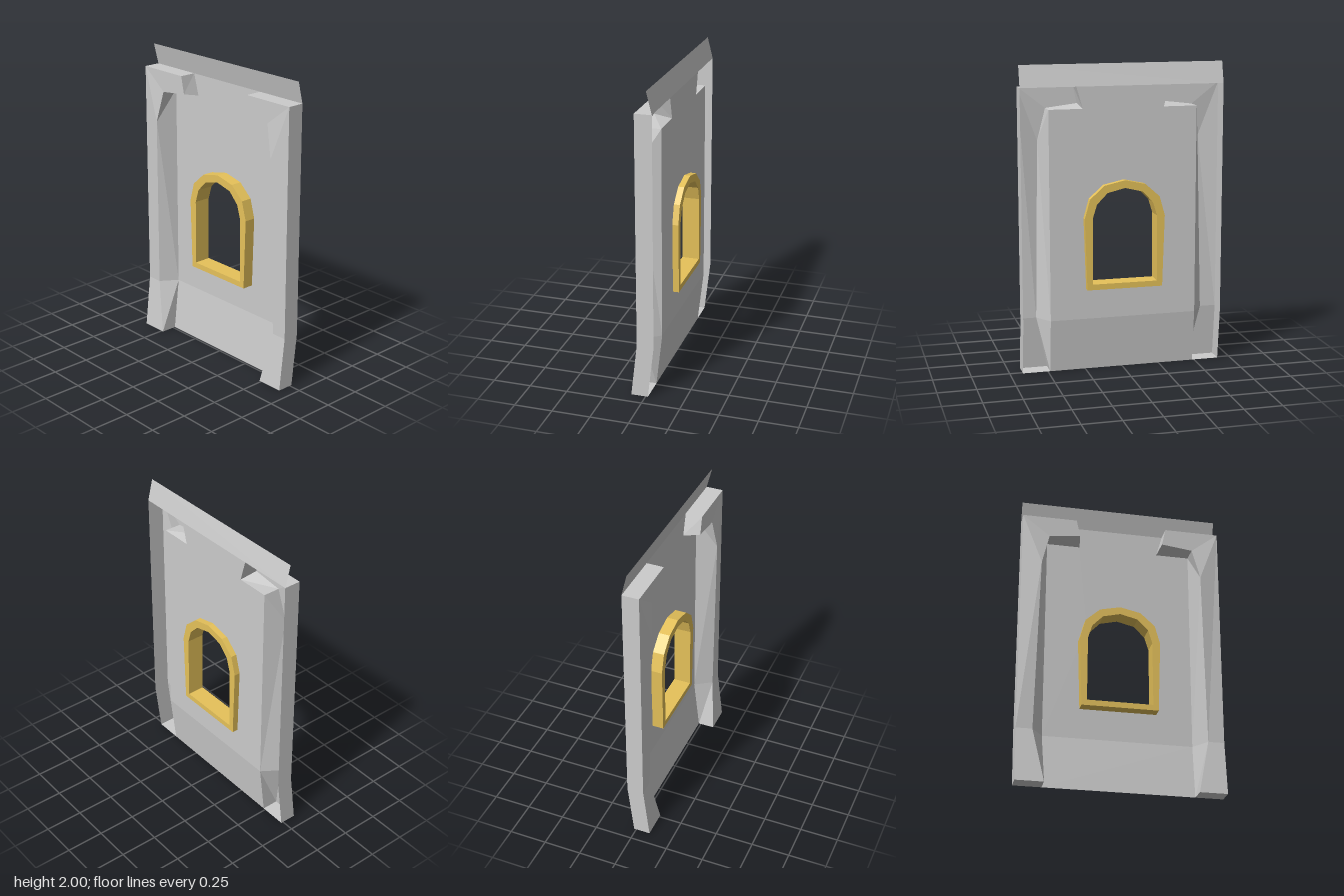
import * as THREE from 'three';

const grey = new THREE.MeshStandardMaterial({ color: 0xcccccc, side: THREE.DoubleSide, flatShading: true });
const gold = new THREE.MeshStandardMaterial({ color: 0xe6c25a, flatShading: true });

function mesh(name, geometry, material) {
  const m = new THREE.Mesh(geometry, material);
  m.name = name;
  return m;
}

// Convex polygons, fanned into flat triangles; sign -1 mirrors them across x = 0
function polygons(faces, sign = 1) {
  const pos = [];
  for (const face of faces) {
    const pts = face.map(([x, y, z]) => [x * sign, y, z]);
    if (sign < 0) pts.reverse();
    for (let i = 1; i < pts.length - 1; i++) pos.push(...pts[0], ...pts[i], ...pts[i + 1]);
  }
  const g = new THREE.BufferGeometry();
  g.setAttribute('position', new THREE.Float32BufferAttribute(pos, 3));
  g.computeVertexNormals();
  return g;
}

// Closed outline from half of an arch (bottom corner up to the crown on x = 0)
function archPoints(half) {
  const mirrored = half.slice(0, -1).reverse().map(([x, y]) => [-x, y]);
  return [...half, ...mirrored].map(([x, y]) => new THREE.Vector2(x, y));
}

export function createModel() {
  const group = new THREE.Group();
  const W = 0.665, TOP = 1.86, BEND = 0.35, BACK = -0.055, FRONT = 0.055;

  // Key points of one post: outer front, outer back, inner front, panel edge
  const O = [[W, 0, 0.095], [W, BEND, FRONT], [W, TOP, FRONT]];
  const B = [[W, 0, -0.015], [W, BEND, BACK], [W, TOP, BACK]];
  const I = [[0.485, 0, 0.095], [0.56, BEND, FRONT], [0.535, 1.51, 0.075],
    [0.485, 1.72, FRONT], [0.28, 1.745, FRONT], [0.305, TOP, FRONT]];
  const P = [[0.485, 0, -0.015], [0.485, BEND, BACK], [0.485, 1.72, BACK],
    [0.265, 1.72, BACK], [0.305, TOP, BACK]];

  // Hollow posts with top brackets, open at the back
  const postFaces = [
    [I[0], O[0], O[1], I[1]], [I[1], O[1], O[2], I[2]], [I[2], O[2], I[3]], // front
    [I[3], O[2], I[5], I[4]], // bracket front
    [P[0], I[0], I[1], P[1]], [P[1], I[1], I[2]], [P[1], I[2], P[2]], [P[2], I[2], I[3]], // inner side
    [P[2], I[3], I[4], P[3]], [P[3], I[4], I[5], P[4]], // bracket underside and end
    [O[2], B[2], P[4], I[5]], // top
    [B[0], B[1], O[1], O[0]], [B[1], B[2], O[2], O[1]], // outer side
    [O[0], I[0], P[0], B[0]], // foot
  ];
  group.add(mesh('leftPost', polygons(postFaces), grey));
  group.add(mesh('rightPost', polygons(postFaces, -1), grey));

  // Window outlines
  const outer = archPoints([[0.25, 0.55], [0.265, 1.02], [0.23, 1.145], [0.135, 1.23], [0, 1.26]]);
  const inner = archPoints([[0.215, 0.587], [0.213, 1.02], [0.185, 1.11], [0.115, 1.182], [0, 1.21]]);
  const middle = outer.map((p, i) => p.clone().lerp(inner[i], 0.5));

  // Wall panel, notched around the brackets and pierced by the window
  const edge = P.slice(1).map(([x, y]) => new THREE.Vector2(x, y));
  const mirror = edge.map((p) => new THREE.Vector2(-p.x, p.y)).reverse();
  const wall = new THREE.Shape([...edge, ...mirror]);
  wall.holes.push(new THREE.Path(middle));
  const panel = mesh('wallPanel', new THREE.ShapeGeometry(wall), grey);
  panel.position.z = BACK;
  group.add(panel);

  // Panel foot flaring forward
  const flip = ([x, y, z]) => [-x, y, z];
  group.add(mesh('panelFoot', polygons([[flip(P[0]), P[0], P[1], flip(P[1])]]), grey));

  // Thin strip along the top, leaning forward
  const tip = [W, 2, -0.02];
  group.add(mesh('topStrip', polygons([[flip(B[2]), B[2], tip, flip(tip)]]), grey));

  // Window frame standing out on both faces of the panel
  const ring = new THREE.Shape(outer);
  ring.holes.push(new THREE.Path(inner));
  const frame = mesh('windowFrame', new THREE.ExtrudeGeometry(ring, { depth: 0.115, bevelEnabled: false }), gold);
  frame.position.z = -0.095;
  group.add(frame);

  return group;
}
